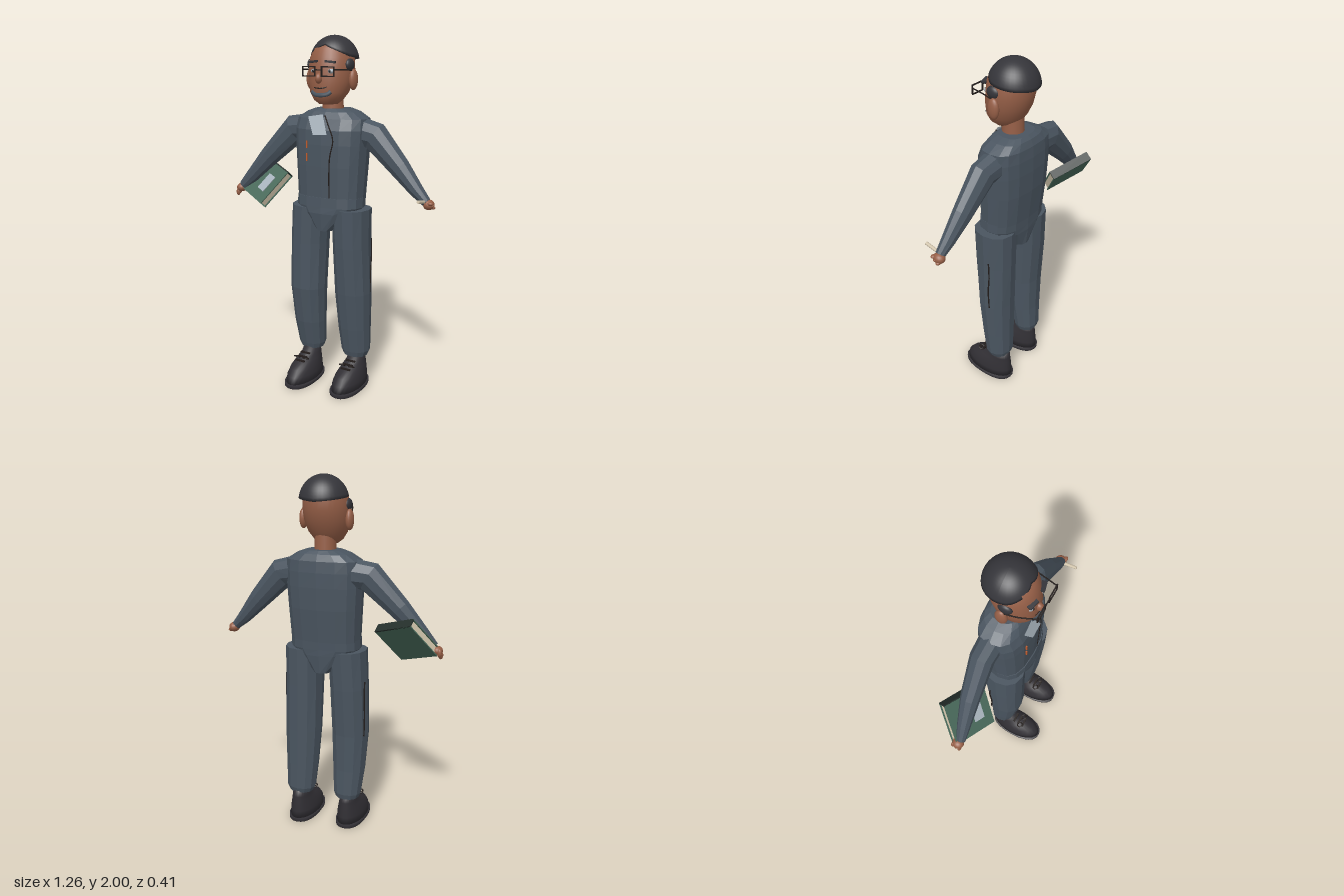
import * as THREE from 'three';

const mat = (name, color) => {
  const m = new THREE.MeshStandardMaterial({ color });
  m.name = name;
  return m;
};
const V = (x, y, z) => new THREE.Vector3(x, y, z);

// Closed skin over oval rings [x, y, z, rx, rz]; rings turn with the path in the xy plane.
function loft(rings, { sides = 12, power = 1, flat = true } = {}) {
  const pos = [], idx = [], n = sides, last = rings.length - 1;
  const bend = (v) => Math.sign(v) * Math.abs(v) ** power;
  rings.forEach(([x, y, z, rx, rz], i) => {
    const a = rings[Math.max(i - 1, 0)], b = rings[Math.min(i + 1, last)];
    const tilt = Math.atan2(a[0] - b[0], b[1] - a[1]);
    for (let j = 0; j < n; j++) {
      const t = (j / n) * Math.PI * 2, r = rx * bend(Math.cos(t));
      pos.push(x + r * Math.cos(tilt), y + r * Math.sin(tilt), z + rz * bend(Math.sin(t)));
    }
  });
  for (let i = 0; i < last; i++) {
    for (let j = 0; j < n; j++) {
      const a = i * n + j, b = i * n + ((j + 1) % n);
      idx.push(a, a + n, b, b, a + n, b + n);
    }
  }
  const base = (last + 1) * n;
  pos.push(...rings[0].slice(0, 3), ...rings[last].slice(0, 3));
  for (let j = 0; j < n; j++) {
    const k = (j + 1) % n;
    idx.push(base, j, k, base + 1, last * n + k, last * n + j);
  }
  let g = new THREE.BufferGeometry();
  g.setAttribute('position', new THREE.Float32BufferAttribute(pos, 3));
  g.setIndex(idx);
  if (flat) g = g.toNonIndexed();
  g.computeVertexNormals();
  return g;
}

// Hair dome whose lower edge rises to a peak above the forehead.
function hairCap() {
  const g = new THREE.SphereGeometry(1, 36, 14), p = g.attributes.position;
  for (let i = 0; i < p.count; i++) {
    const row = Math.floor(i / 37), a = ((i % 37) / 36) * Math.PI * 2;
    const dx = -Math.cos(a), dz = Math.sin(a);
    const off = Math.abs(Math.atan2(dx, dz));
    const edge = off < 1.2 ? 0.2 + 0.42 * (1 - off / 1.2) : 0.2 - 0.17 * (off - 1.2) / 1.94;
    const th = Math.min(row / 12, 1) * Math.acos(edge);
    const r = Math.sin(th) * (row > 12 ? (14 - row) * 0.4 : 1);
    p.setXYZ(i, dx * r, Math.cos(th), dz * r);
  }
  g.scale(0.133, 0.14, 0.136);
  g.computeVertexNormals();
  return g;
}

export function createModel() {
  const root = new THREE.Group();
  const cloth = mat('slate cloth', 0x4a5560), skin = mat('brown skin', 0x965f47);
  const hair = mat('black hair', 0x35353a), leather = mat('shoe leather', 0x312f34);
  const cover = mat('green cover', 0x48695a), spineMat = mat('dark spine', 0x26302c);
  const paper = mat('cream paper', 0xd2c5ac), pale = mat('pale grey', 0xa9b4bd);
  const orange = mat('orange stitch', 0xc05a2a), dark = mat('dark trim', 0x241e1c);

  const add = (name, g, m, x = 0, y = 0, z = 0, parent = root) => {
    const mesh = new THREE.Mesh(g, m);
    mesh.name = name;
    mesh.position.set(x, y, z);
    parent.add(mesh);
    return mesh;
  };
  const ball = (name, m, x, y, z, sx, sy, sz) =>
    add(name, new THREE.SphereGeometry(1, 18, 12).scale(sx, sy, sz), m, x, y, z);
  const box = (name, m, x, y, z, w, h, d, parent) =>
    add(name, new THREE.BoxGeometry(w, h, d), m, x, y, z, parent);
  const tube = (name, m, pts, r, seg = 16) =>
    add(name, new THREE.TubeGeometry(new THREE.CatmullRomCurve3(pts.map((p) => V(...p))), seg, r, 6), m);

  // Jacket and hips
  add('jacket', loft([
    [0.025, 1.12, -0.053, 0.196, 0.118], [0.025, 1.3, -0.06, 0.205, 0.13],
    [0.025, 1.42, -0.0625, 0.212, 0.1325], [0.025, 1.5, -0.065, 0.214, 0.13],
    [0.025, 1.56, -0.075, 0.207, 0.115], [0.025, 1.595, -0.078, 0.15, 0.098],
    [0.025, 1.612, -0.078, 0.1, 0.078]], { sides: 16, power: 0.75 }), cloth);
  add('hips', loft([
    [0.025, 0.94, -0.045, 0.055, 0.11], [0.025, 1.04, -0.045, 0.16, 0.121],
    [0.025, 1.075, -0.047, 0.198, 0.12], [0.025, 1.13, -0.05, 0.197, 0.12]],
    { sides: 16, power: 0.75 }), cloth);
  tube('jacketPlacket', dark, [[0.035, 1.58, 0.045], [0.065, 1.53, 0.062], [0.095, 1.45, 0.064],
    [0.078, 1.36, 0.067], [0.072, 1.25, 0.065], [0.072, 1.13, 0.061]], 0.0035, 24);
  const patch = new THREE.ShapeGeometry(new THREE.Shape([[-0.065, 1.57], [-0.02, 1.475],
    [0.065, 1.48], [0.025, 1.585]].map((p) => new THREE.Vector2(...p))));
  const pp = patch.attributes.position;
  for (let i = 0; i < pp.count; i++) pp.setZ(i, 0.08 - (pp.getY(i) - 1.475) * 0.27);
  patch.computeVertexNormals();
  pale.side = THREE.DoubleSide;
  add('chestPatch', patch, pale);
  for (const y of [1.42, 1.35]) box('chestStitch', orange, -0.065, y, 0.069, 0.006, 0.042, 0.008);

  // Arms and hands
  add('leftArm', loft([[0.17, 1.49, -0.08, 0.085, 0.07], [0.28, 1.468, -0.075, 0.082, 0.064],
    [0.43, 1.31, -0.072, 0.06, 0.05], [0.53, 1.2, -0.066, 0.04, 0.038],
    [0.59, 1.142, -0.063, 0.026, 0.028]], { sides: 10 }), cloth);
  add('rightArm', loft([[-0.13, 1.49, -0.085, 0.085, 0.07], [-0.235, 1.482, -0.085, 0.084, 0.064],
    [-0.4, 1.32, -0.07, 0.062, 0.052], [-0.52, 1.19, -0.05, 0.042, 0.036],
    [-0.58, 1.128, -0.038, 0.028, 0.026]].map((r) => r), { sides: 10 }), cloth);
  ball('leftHand', skin, 0.602, 1.13, -0.067, 0.03, 0.028, 0.034);
  ball('rightHand', skin, -0.6, 1.11, -0.045, 0.03, 0.026, 0.032);
  for (let i = 0; i < 3; i++) {
    ball('leftFinger', skin, 0.618, 1.14 - i * 0.013, -0.045 - i * 0.016, 0.017, 0.01, 0.013);
    ball('rightFinger', skin, -0.617, 1.083 + i * 0.01, -0.03 - i * 0.018, 0.013, 0.022, 0.01);
  }
  const chalk = add('chalk', new THREE.CylinderGeometry(0.009, 0.009, 0.085, 8), paper, 0.585, 1.155, -0.003);
  chalk.rotation.x = Math.PI / 2 - 0.18;

  // Book under the right arm
  const book = new THREE.Group();
  book.name = 'book';
  const u = V(0.23, -0.075, 0.1).normalize();
  const n = u.clone().cross(V(0.1, 0.19, -0.14)).normalize();
  book.quaternion.setFromRotationMatrix(new THREE.Matrix4().makeBasis(u, n.clone().cross(u), n));
  book.position.set(-0.445, 1.158, -0.075);
  root.add(book);
  for (const s of [-1, 1]) box('bookCover', cover, 0, 0, s * 0.022, 0.25, 0.245, 0.006, book);
  box('bookPages', paper, 0, 0, 0, 0.236, 0.23, 0.038, book);
  box('bookSpine', spineMat, 0, 0.121, 0, 0.25, 0.008, 0.05, book);
  box('bookLabel', pale, 0.045, -0.005, 0.027, 0.06, 0.11, 0.004, book);

  // Trouser legs with side seams
  const legs = {
    left: [[0.172, 0.185, -0.085, 0.07, 0.065], [0.172, 0.215, -0.085, 0.084, 0.073],
      [0.168, 0.36, -0.073, 0.094, 0.084], [0.164, 0.575, -0.06, 0.104, 0.097],
      [0.158, 0.85, -0.05, 0.104, 0.11], [0.155, 1.065, -0.047, 0.107, 0.116]],
    right: [[-0.11, 0.185, -0.065, 0.068, 0.062], [-0.11, 0.215, -0.064, 0.08, 0.07],
      [-0.113, 0.36, -0.046, 0.093, 0.083], [-0.115, 0.575, -0.032, 0.104, 0.1],
      [-0.11, 0.85, -0.042, 0.106, 0.11], [-0.1, 1.065, -0.047, 0.107, 0.116]],
  };
  for (const side in legs) {
    add(side + 'Leg', loft(legs[side], { sides: 12, power: 0.9 }), cloth);
    const x = side === 'left' ? 0.262 : -0.214;
    tube(side + 'SideSeam', dark, [[x, 0.58, -0.085], [x, 0.7, -0.08], [x, 0.8, -0.088], [x, 0.9, -0.085]], 0.004);
  }

  // Shoes with soles and laces
  for (const [side, x, z] of [['left', 0.175, -0.035], ['right', -0.11, 0]]) {
    const shoe = new THREE.Group();
    shoe.name = side + 'Shoe';
    shoe.position.set(x, 0, z);
    root.add(shoe);
    add('sole', loft([[0, 0, 0.032, 0.08, 0.163], [0, 0.006, 0.032, 0.084, 0.168],
      [0, 0.025, 0.032, 0.084, 0.168]], { sides: 24, power: 0.85, flat: false }), leather, 0, 0, 0, shoe);
    add('upper', loft([[0, 0.02, 0.031, 0.081, 0.164], [0, 0.065, 0.027, 0.079, 0.157],
      [0, 0.1, 0.012, 0.071, 0.14], [0, 0.13, -0.018, 0.06, 0.107], [0, 0.155, -0.045, 0.05, 0.077],
      [0, 0.195, -0.06, 0.044, 0.058]], { sides: 24, flat: false }), leather, 0, 0, 0, shoe);
    for (let i = 0; i < 3; i++) {
      box('lace', dark, 0, 0.135 + i * 0.014, 0.085 - i * 0.03, 0.06, 0.008, 0.012, shoe);
    }
    for (const s of [-1, 1]) {
      const loop = add('laceLoop', new THREE.TorusGeometry(0.016, 0.004, 6, 12), dark, s * 0.03, 0.15, 0.07, shoe);
      loop.rotation.x = 1.2;
    }
  }

  // Head
  const cx = 0.027;
  add('neck', new THREE.CylinderGeometry(0.056, 0.06, 0.11, 20), skin, cx, 1.635, -0.06);
  add('head', loft([[cx, 1.638, -0.01, 0.05, 0.055], [cx, 1.66, -0.01, 0.078, 0.084],
    [cx, 1.7, -0.02, 0.106, 0.105], [cx, 1.76, -0.034, 0.122, 0.121],
    [cx, 1.82, -0.045, 0.126, 0.126], [cx, 1.88, -0.05, 0.121, 0.123],
    [cx, 1.93, -0.055, 0.1, 0.106], [cx, 1.965, -0.06, 0.065, 0.07]], { sides: 28, flat: false }), skin);
  add('hair', hairCap(), hair, 0.031, 1.86, -0.069);
  ball('nose', skin, 0.022, 1.775, 0.083, 0.02, 0.028, 0.026);
  for (const s of [-1, 1]) {
    ball('ear', skin, cx + s * 0.132, 1.768, -0.045, 0.022, 0.056, 0.033);
    ball('sideburn', hair, cx + s * 0.117, 1.845, -0.03, 0.02, 0.033, 0.038);
    const ex = 0.032 + s * 0.05;
    ball('eye', pale, ex, 1.813, 0.06, 0.02, 0.013, 0.018);
    ball('pupil', dark, ex, 1.813, 0.075, 0.007, 0.008, 0.005);
    const brow = box('eyebrow', hair, ex, 1.861, 0.071, 0.055, 0.011, 0.026);
    brow.rotation.set(0, s * 0.25, -s * 0.1);
    // Spectacle rim and temple
    const gx = 0.037 + s * 0.057;
    for (const t of [-1, 1]) {
      box('rimBar', dark, gx, 1.812 + t * 0.024, 0.117, 0.08, 0.006, 0.006);
      box('rimSide', dark, gx + t * 0.037, 1.812, 0.117, 0.006, 0.05, 0.006);
    }
    tube('temple', dark, [[0.037 + s * 0.095, 1.822, 0.117], [cx + s * 0.12, 1.82, 0.03],
      [cx + s * 0.134, 1.815, -0.045]], 0.0035);
  }
  box('spectacleBridge', dark, 0.037, 1.82, 0.117, 0.04, 0.006, 0.006);
  tube('beard', cloth, [[-0.028, 1.705, 0.067], [0.0, 1.69, 0.08], [0.035, 1.688, 0.083],
    [0.07, 1.695, 0.074], [0.085, 1.708, 0.067]], 0.012);
  tube('mouth', dark, [[-0.01, 1.727, 0.08], [0.03, 1.724, 0.087], [0.065, 1.73, 0.08]], 0.003);
  return root;
}
